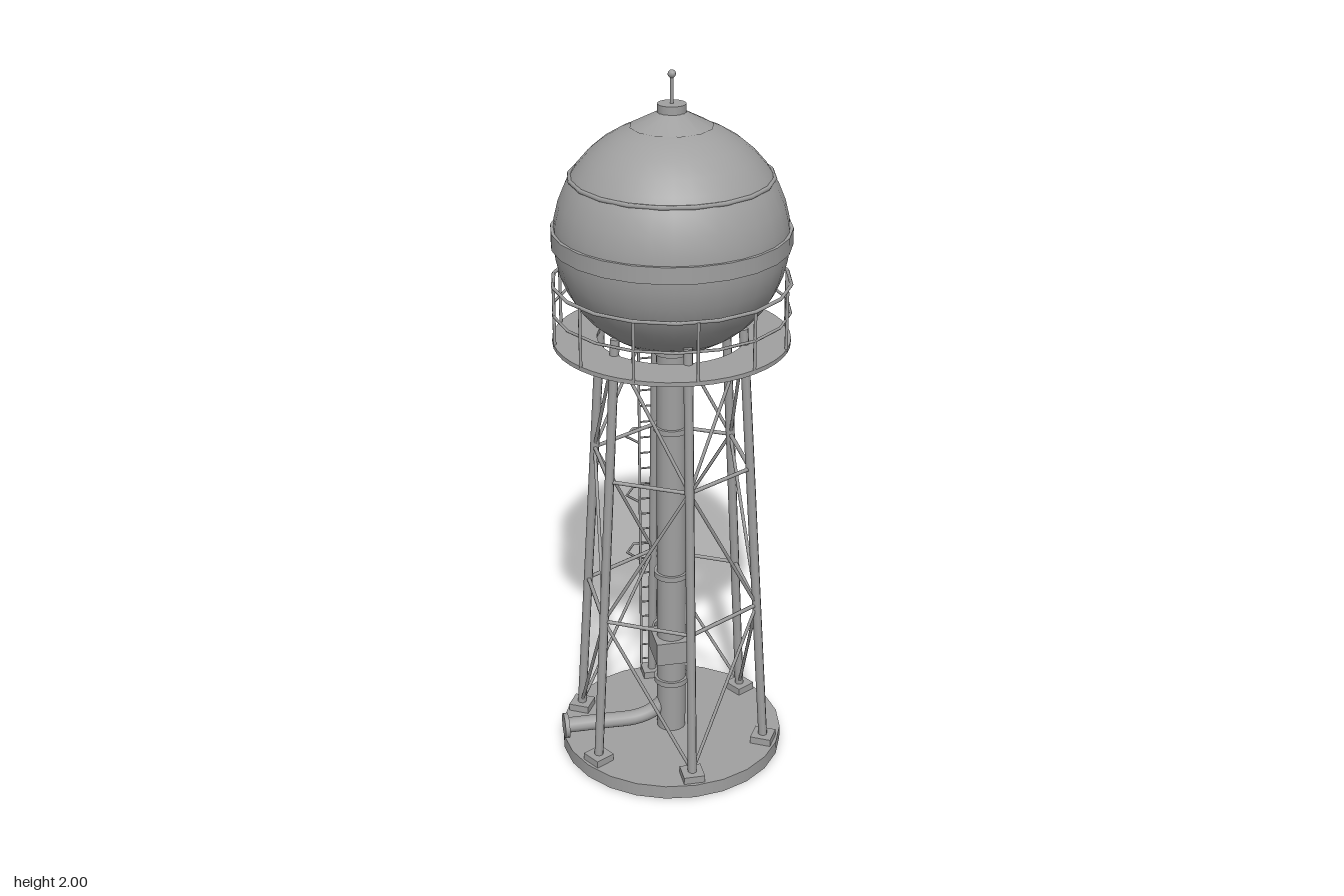
import * as THREE from 'three';

const steel = new THREE.MeshStandardMaterial({ color: 0xa0a0a0 });
steel.name = 'grey steel';

export function createModel() {
  const tower = new THREE.Group();
  tower.name = 'waterTower';
  tower.position.z = 0.047;

  const add = (name, geo, x = 0, y = 0, z = 0) => {
    const m = new THREE.Mesh(geo, steel);
    m.name = name;
    m.position.set(x, y, z);
    tower.add(m);
    return m;
  };
  const cyl = (name, r0, r1, y0, y1, sides) =>
    add(name, new THREE.CylinderGeometry(r1, r0, y1 - y0, sides), 0, (y0 + y1) / 2, 0);
  // Round bar between two points
  const bar = (name, a, b, r, sides = 6) => {
    const d = b.clone().sub(a);
    const m = add(name, new THREE.CylinderGeometry(r, r, d.length(), sides));
    m.position.copy(a).add(b).multiplyScalar(0.5);
    m.quaternion.setFromUnitVectors(new THREE.Vector3(0, 1, 0), d.normalize());
    return m;
  };
  // Horizontal ring
  const hoop = (name, R, r, y, sides = 18) => {
    const m = add(name, new THREE.TorusGeometry(R, r, 6, sides), 0, y, 0);
    m.rotation.x = Math.PI / 2;
    return m;
  };
  const V = (x, y, z) => new THREE.Vector3(x, y, z);
  const polar = (a, r, y) => V(r * Math.cos(a), y, r * Math.sin(a));

  // Foundation
  cyl('foundation', 0.32, 0.32, 0, 0.04, 24);

  // Tank with bands, roof cap, vent and mast
  add('tank', new THREE.SphereGeometry(0.312, 32, 20), 0, 1.56, 0);
  cyl('tankBand', 0.319, 0.319, 1.54, 1.585, 24);
  hoop('upperSeam', 0.267, 0.006, 1.722, 20);
  cyl('roofCap', 0.11, 0.037, 1.855, 1.892, 12);
  cyl('vent', 0.038, 0.038, 1.888, 1.913, 16);
  cyl('mast', 0.005, 0.005, 1.91, 1.99, 6);
  add('mastBall', new THREE.SphereGeometry(0.011, 8, 6), 0, 1.989, 0);

  // Legs and feet: six legs leaning inward
  const Y0 = 0.05, Y1 = 1.32;
  const legAngle = j => Math.PI / 6 + j * Math.PI / 3;
  const legAt = (j, y) => polar(legAngle(j), 0.28 - 0.08 * (y - Y0) / (Y1 - Y0), y);
  for (let j = 0; j < 6; j++) {
    bar('leg', legAt(j, Y0), legAt(j, Y1), 0.013, 8);
    const p = legAt(j, 0.05);
    add('foot', new THREE.BoxGeometry(0.06, 0.022, 0.06), p.x, 0.05, p.z).rotation.y = -legAngle(j);
  }

  // Struts and zigzag braces between neighbouring legs
  const tiers = [0.06, 0.488, 0.912, 1.29];
  for (let j = 0; j < 6; j++) {
    for (const y of [0.488, 0.912]) bar('strut', legAt(j, y), legAt(j + 1, y), 0.006);
    for (let t = 0; t < 3; t++) {
      const up = (j + t) % 2;
      bar('brace', legAt(j, tiers[t + 1 - up]), legAt(j + 1, tiers[t + up]), 0.005, 5);
    }
  }

  // Walkway plate with a central opening, and its railing
  const ring = new THREE.Shape().absarc(0, 0, 0.32, 0, Math.PI * 2);
  ring.holes.push(new THREE.Path().absarc(0, 0, 0.2, 0, Math.PI * 2, true));
  const plate = new THREE.ExtrudeGeometry(ring, { depth: 0.012, bevelEnabled: false, curveSegments: 24 });
  add('walkway', plate, 0, 1.277, 0).rotation.x = Math.PI / 2;
  hoop('topRail', 0.318, 0.005, 1.437);
  hoop('midRail', 0.318, 0.004, 1.357);
  for (let i = 0; i < 12; i++) {
    const a = i * Math.PI / 6;
    bar('railPost', polar(a, 0.317, 1.27), polar(a, 0.317, 1.437), 0.0045);
  }

  // Riser pipe with collars
  cyl('riserPipe', 0.042, 0.042, 0.04, 1.27, 16);
  for (const y of [0.2, 0.55, 1.005, 1.237]) cyl('pipeCollar', 0.05, 0.05, y - 0.008, y + 0.008, 16);

  // Valve box with handwheel at the back
  add('valveBox', new THREE.BoxGeometry(0.106, 0.07, 0.106), 0, 0.31, 0);
  bar('valveStem', V(0, 0.31, -0.05), V(0, 0.31, -0.108), 0.006);
  add('handwheel', new THREE.TorusGeometry(0.032, 0.004, 6, 12), 0, 0.31, -0.106);
  bar('wheelSpoke', V(-0.032, 0.31, -0.106), V(0.032, 0.31, -0.106), 0.003);
  bar('wheelSpoke', V(0, 0.278, -0.106), V(0, 0.342, -0.106), 0.003);

  // Outlet pipe with end flange
  const path = new THREE.CatmullRomCurve3([
    V(-0.315, 0.075, 0), V(-0.2, 0.075, 0), V(-0.1, 0.077, 0), V(-0.045, 0.1, 0), V(0, 0.15, 0)]);
  add('outletPipe', new THREE.TubeGeometry(path, 20, 0.023, 10, false));
  bar('outletFlange', V(-0.32, 0.075, 0), V(-0.307, 0.075, 0), 0.036, 12);

  // Ladder at the back, leaning slightly, with upper rail plate
  const ladderZ = y => -0.303 - 0.013 * y;
  for (const x of [-0.028, 0.028])
    bar('ladderRail', V(x, 0.04, ladderZ(0.04)), V(x, 1.28, ladderZ(1.28)), 0.004);
  for (let i = 0; i < 24; i++) {
    const y = 0.08 + i * 0.05;
    bar('ladderRung', V(-0.028, y, ladderZ(y)), V(0.028, y, ladderZ(y)), 0.003, 5);
  }
  add('upperLadder', new THREE.BoxGeometry(0.026, 0.385, 0.008), 0, 1.463, -0.321);

  // Safety cage: five-sided open hoops
  for (let i = 0; i < 5; i++) {
    const cage = add('cageHoop', new THREE.TorusGeometry(0.058, 0.004, 5, 5, Math.PI * 5 / 3),
      0, 0.425 + i * 0.1945, -0.362);
    cage.rotation.set(Math.PI / 2, 0, Math.PI * 2 / 3);
  }

  const model = new THREE.Group();
  model.name = 'model';
  model.add(tower);
  return model;
}
